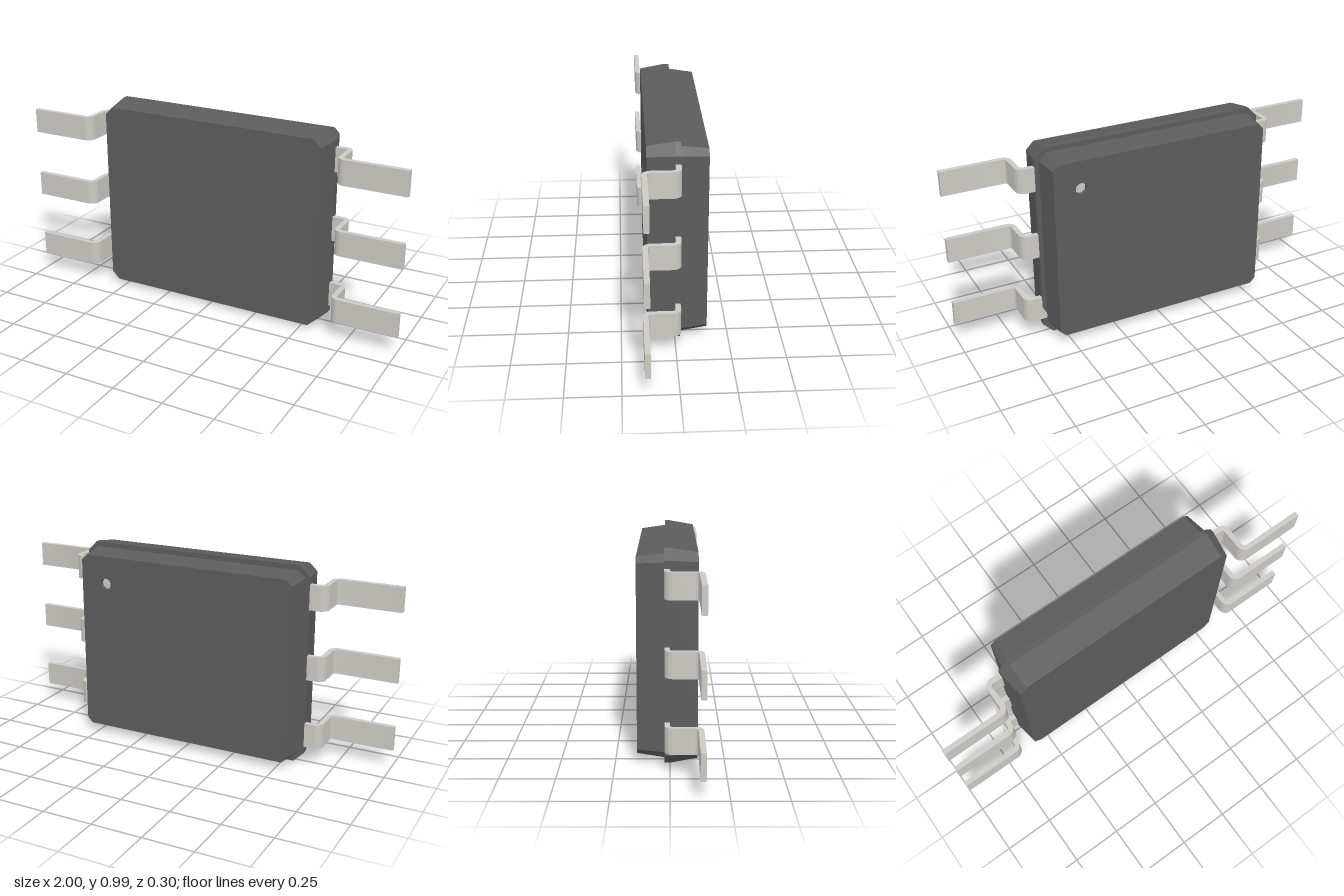
import * as THREE from 'three';
import { toCreasedNormals } from 'three/addons/utils/BufferGeometryUtils.js';

const MID_Y = 0.494;
const bodyMaterial = new THREE.MeshStandardMaterial({ color: 0x5c5c5c });
const wallMaterial = new THREE.MeshStandardMaterial({ color: 0x5c5c5c, side: THREE.BackSide });
const leadMaterial = new THREE.MeshStandardMaterial({ color: 0xcccac4 });

function add(parent, name, geometry, material) {
  const mesh = new THREE.Mesh(geometry, material);
  mesh.name = name;
  parent.add(mesh);
  return mesh;
}

// Rectangle with chamfered corners, counter-clockwise (half width, half height, chamfer)
function octagon({ w, h, c }) {
  return [[w, c - h], [w, h - c], [w - c, h], [c - w, h],
    [-w, h - c], [-w, c - h], [c - w, -h], [w - c, -h]].map(([x, y]) => new THREE.Vector2(x, y));
}

// Flat-sided band joining chamfered rings, listed from back to front
function sides(rings) {
  const positions = [];
  for (let r = 0; r < rings.length - 1; r++) {
    const a = octagon(rings[r]), b = octagon(rings[r + 1]);
    const za = rings[r].z, zb = rings[r + 1].z;
    for (let i = 0; i < 8; i++) {
      const j = (i + 1) % 8;
      positions.push(
        a[i].x, a[i].y, za, a[j].x, a[j].y, za, b[j].x, b[j].y, zb,
        a[i].x, a[i].y, za, b[j].x, b[j].y, zb, b[i].x, b[i].y, zb);
    }
  }
  const geometry = new THREE.BufferGeometry();
  geometry.setAttribute('position', new THREE.Float32BufferAttribute(positions, 3));
  geometry.computeVertexNormals();
  return geometry;
}

// End face of a ring, facing front or back, with an optional round hole
function cap(ring, facesBack, hole) {
  const shape = new THREE.Shape(octagon(ring));
  if (hole) shape.holes.push(new THREE.Path().absarc(-hole.x, hole.y, hole.r, 0, Math.PI * 2, true));
  const geometry = new THREE.ShapeGeometry(shape, 16);
  if (facesBack) geometry.rotateY(Math.PI);
  return geometry.translate(0, 0, ring.z);
}

// Z-shaped strip bent in the x-z plane and extruded along y
function leadGeometry() {
  const width = 0.122, P = Math.PI;
  const s = new THREE.Shape();
  s.moveTo(0.57, 0);
  s.lineTo(0.645, 0);
  s.absarc(0.645, -0.015, 0.015, P / 2, 0, true);
  s.lineTo(0.66, -0.11);
  s.absarc(0.70, -0.11, 0.04, P, 1.5 * P, false);
  s.lineTo(1, -0.15);
  s.lineTo(1, -0.125);
  s.lineTo(0.70, -0.125);
  s.absarc(0.70, -0.11, 0.015, 1.5 * P, P, true);
  s.lineTo(0.685, -0.015);
  s.absarc(0.645, -0.015, 0.04, 0, P / 2, false);
  s.lineTo(0.57, 0.025);
  s.closePath();
  const geometry = new THREE.ExtrudeGeometry(s, { depth: width, bevelEnabled: false, curveSegments: 8 });
  geometry.translate(0, 0, -width / 2).rotateX(-P / 2);
  return toCreasedNormals(geometry, 0.5);
}

export function createModel() {
  const model = new THREE.Group();
  model.name = 'chipPackage';

  const body = new THREE.Group();
  body.name = 'body';
  body.position.y = MID_Y;
  model.add(body);

  // Front half, tapering towards the front, with a thin straight rim
  const front = [
    { w: 0.6, h: 0.494, c: 0.05, z: -0.025 },
    { w: 0.6, h: 0.494, c: 0.05, z: 0 },
    { w: 0.58, h: 0.473, c: 0.038, z: 0.125 },
  ];
  add(body, 'frontShellSides', sides(front), bodyMaterial);
  add(body, 'frontFace', cap(front[2], false), bodyMaterial);
  add(body, 'rimBack', cap(front[0], true), bodyMaterial);

  // Smaller back half, tapering towards the back
  const back = [
    { w: 0.56, h: 0.453, c: 0.027, z: -0.15 },
    { w: 0.578, h: 0.47, c: 0.036, z: -0.025 },
  ];
  const dimple = { x: 0.425, y: 0.315, r: 0.028, depth: 0.02 };
  add(body, 'backShellSides', sides(back), bodyMaterial);
  add(body, 'backFace', cap(back[0], true, dimple), bodyMaterial);

  // Round marker recess in the back face
  const wall = new THREE.CylinderGeometry(dimple.r, dimple.r, dimple.depth, 32, 1, true).rotateX(Math.PI / 2);
  add(body, 'markerWall', wall, wallMaterial)
    .position.set(dimple.x, dimple.y, -0.15 + dimple.depth / 2);
  add(body, 'markerFloor', new THREE.CircleGeometry(dimple.r, 32).rotateY(Math.PI), leadMaterial)
    .position.set(dimple.x, dimple.y, -0.15 + dimple.depth);

  // Three leads on each side
  const lead = leadGeometry();
  for (const side of ['left', 'right']) {
    for (let i = -1; i <= 1; i++) {
      const mesh = add(model, `${side}Lead${i + 2}`, lead, leadMaterial);
      mesh.position.y = MID_Y + i * 0.347;
      if (side === 'right') mesh.rotation.z = Math.PI;
    }
  }
  return model;
}
